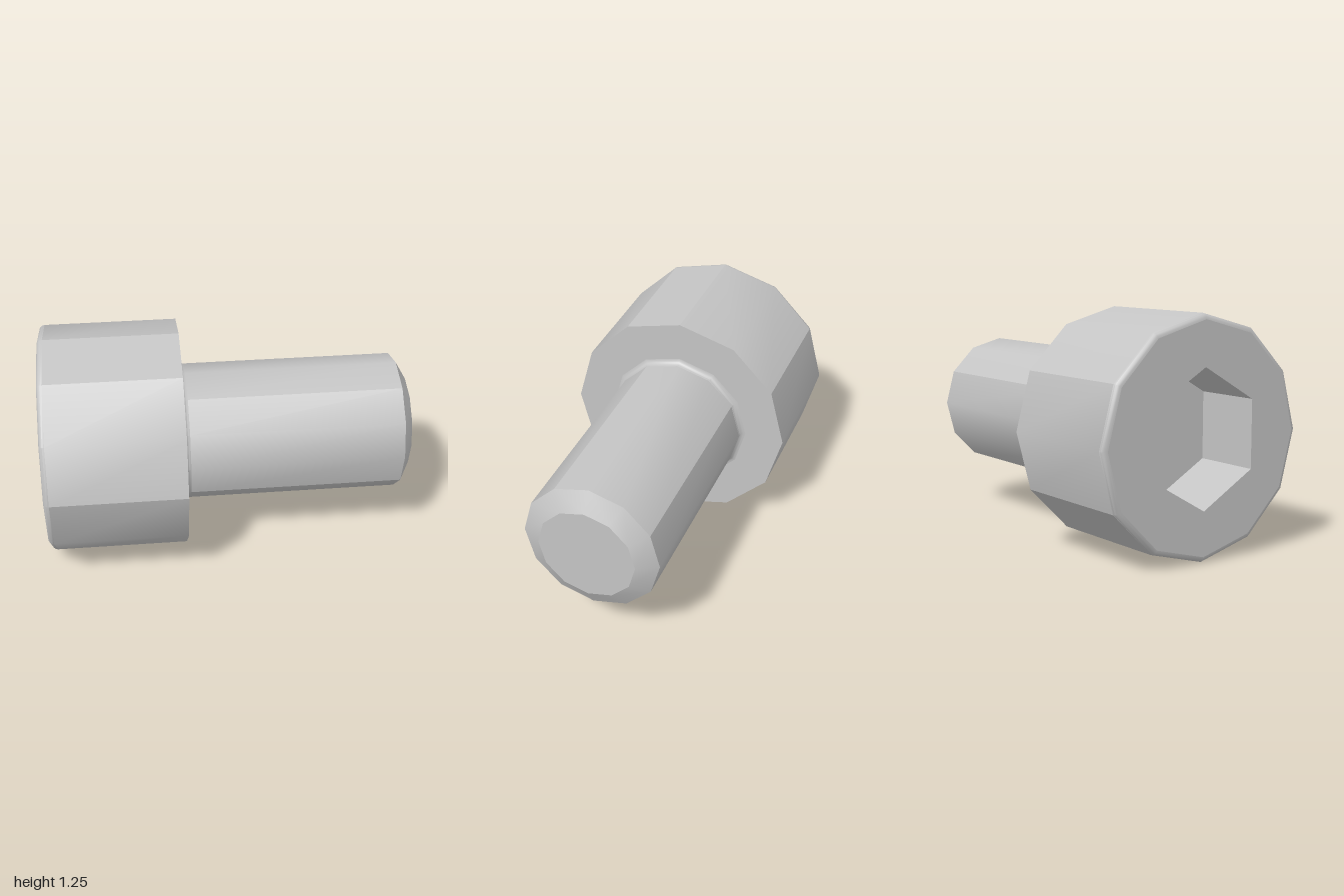
import * as THREE from 'three';
import { mergeGeometries, toCreasedNormals } from 'three/addons/utils/BufferGeometryUtils.js';

const HEAD_R = 0.625, SHANK_R = 0.375, HEX_R = 0.361;
const HEAD_X = -0.25, ROUND = 0.03, SIDES = 12;

// Turn a profile of [x, radius] about the x axis; angles in degrees from the top towards +z
function turn(profile, sides = SIDES, from = 0, to = 360) {
  const points = profile.map(([x, r]) => new THREE.Vector2(r, x));
  const segments = Math.round((to - from) * sides / 360);
  const geo = new THREE.LatheGeometry(points, segments,
    THREE.MathUtils.degToRad(from - 90), THREE.MathUtils.degToRad(to - from));
  geo.rotateZ(-Math.PI / 2);
  return toCreasedNormals(geo, 0.6);
}

// Facets blend within each sector and stay sharp between sectors
function turnSectors(profile, edges) {
  return mergeGeometries(edges.map((a, i) =>
    turn(profile, SIDES, a, i + 1 < edges.length ? edges[i + 1] : edges[0] + 360)));
}

// Quarter-round profile between two angles (radians) about a centre
function arc(cx, cr, radius, a0, a1, steps = 4) {
  return Array.from({ length: steps + 1 }, (_, i) => {
    const a = a0 + (a1 - a0) * i / steps;
    return [cx + radius * Math.cos(a), cr + radius * Math.sin(a)];
  });
}

function polygon(r, sides) {
  return Array.from({ length: sides }, (_, i) => {
    const a = i / sides * Math.PI * 2;
    return new THREE.Vector2(r * Math.sin(a), r * Math.cos(a));
  });
}

export function createModel() {
  const steel = new THREE.MeshStandardMaterial({ color: 0xc4c4c4 });
  steel.name = 'steel';
  const bolt = new THREE.Group();
  bolt.name = 'socketHeadBolt';

  const add = (name, geometry) => {
    const mesh = new THREE.Mesh(geometry, steel);
    mesh.name = name;
    mesh.position.y = HEAD_R;
    bolt.add(mesh);
  };

  // Head: rounded rim, faceted side and flat underside
  add('headRim', turn(arc(-1 + ROUND, HEAD_R - ROUND, ROUND, Math.PI, Math.PI / 2)));
  add('headSide', turnSectors([[-1 + ROUND, HEAD_R], [HEAD_X, HEAD_R]],
    [0, 30, 90, 150, 210, 240, 300]));
  add('headUnderside', turn([[HEAD_X, HEAD_R], [HEAD_X, SHANK_R + ROUND]]));

  // End face with the hexagonal opening
  const face = new THREE.Shape(polygon(HEAD_R - ROUND, SIDES));
  face.holes.push(new THREE.Path(polygon(HEX_R, 6)));
  const faceGeo = new THREE.ShapeGeometry(face);
  faceGeo.rotateY(-Math.PI / 2);
  faceGeo.translate(-1, 0, 0);
  add('headFace', faceGeo);

  // Hex socket: floor and inward-facing walls
  add('hexSocket', turn([[-0.625, 0], [-0.625, HEX_R], [-1, HEX_R]], 6));

  // Shank: neck fillet, faceted body, chamfered tip
  add('neckFillet', turn(arc(HEAD_X + ROUND, SHANK_R + ROUND, ROUND, Math.PI, Math.PI * 1.5)));
  add('shank', turnSectors([[HEAD_X + ROUND, SHANK_R], [0.94, SHANK_R]], [30, 120, 210, 300]));
  add('tipChamfer', turn([[0.94, SHANK_R], [1, 0.267]]));
  add('tipFace', turn([[1, 0.267], [1, 0]]));

  return bolt;
}
